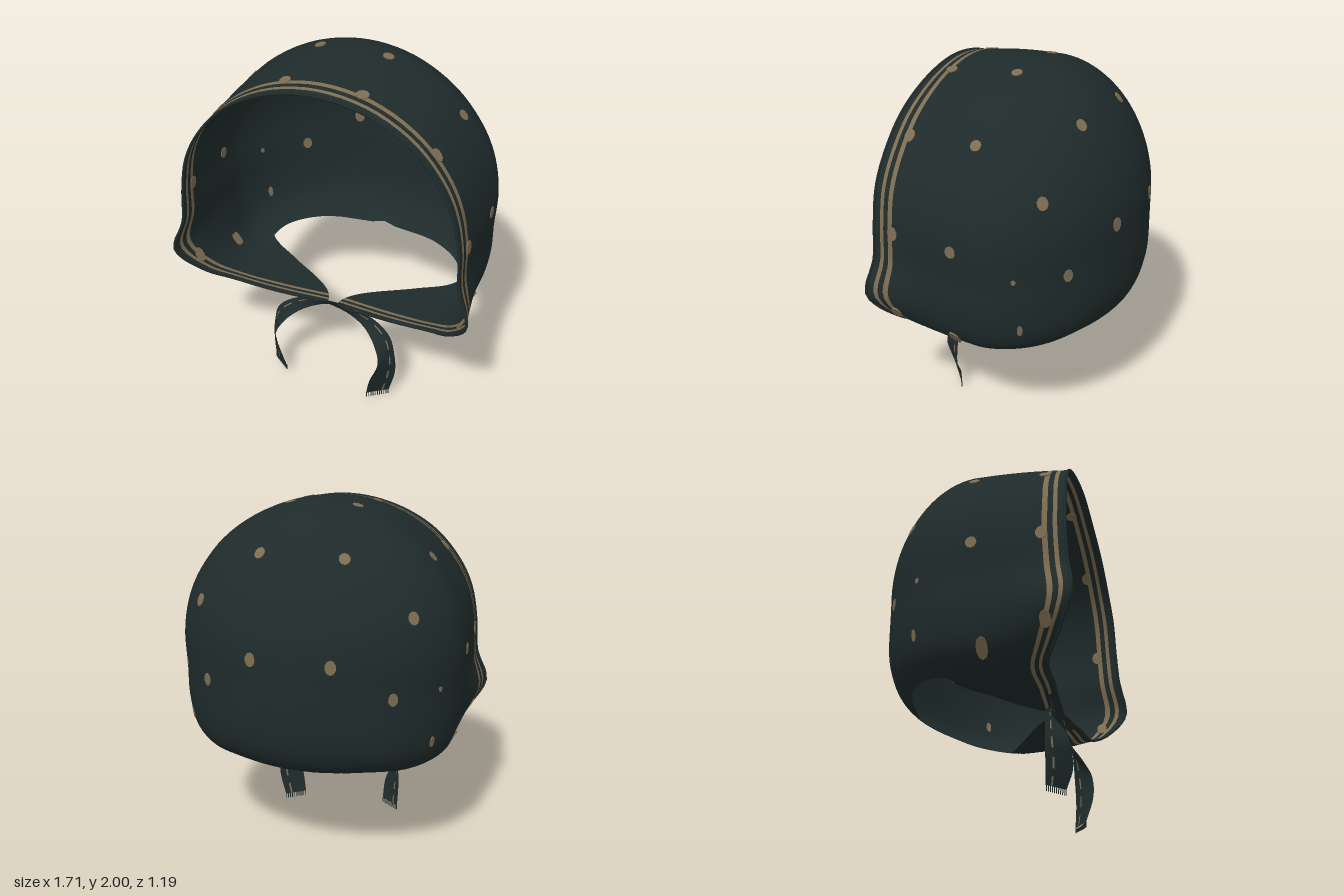
import * as THREE from 'three';
import { mergeVertices } from 'three/addons/utils/BufferGeometryUtils.js';

const mat = (name, color) => {
  const m = new THREE.MeshStandardMaterial({ color, side: THREE.DoubleSide });
  m.name = name;
  return m;
};

// Half outline mirrored into a full arch: hem, +x side, crown, -x side, hem
const arch = (half) => {
  const a = half.map((p) => new THREE.Vector3(p[0], p[1], p[2] || 0));
  const b = a.slice(0, -1).reverse().map((p) => new THREE.Vector3(-p.x, p.y, p.z));
  return new THREE.CatmullRomCurve3([...a, ...b]);
};

const body = arch([
  [0, 0.57], [0.35, 0.565], [0.6, 0.57], [0.73, 0.66], [0.785, 0.85], [0.79, 1.05],
  [0.8, 1.25], [0.765, 1.45], [0.69, 1.61], [0.53, 1.8], [0.28, 1.95], [0, 2.0],
]);
const rim = arch([
  [0.03, 0.57, 0.36], [0.35, 0.59, 0.4], [0.6, 0.615, 0.42], [0.73, 0.69, 0.5], [0.85, 0.86, 0.595],
  [0.79, 1.05, 0.572], [0.775, 1.25, 0.562], [0.735, 1.45, 0.56], [0.655, 1.61, 0.55],
  [0.5, 1.78, 0.54], [0.27, 1.9, 0.53], [0, 1.945, 0.53],
]);

// Half width of the neck opening at depth z
const neckHalf = (z) => {
  if (z < -0.44 || z > 0.36) return 0;
  if (z < -0.1) return 0.62 * Math.sqrt(1 - ((-0.1 - z) / 0.34) ** 2.5);
  return 0.62 * Math.pow((0.36 - z) / 0.46, 1.7);
};

// Rounded norm of the back: nearly elliptical in plan, fuller below the middle
const backNorm = (x, y, z) => {
  const m = 1.87;
  const n = y < 0 ? 4.5 : m;
  const plan = Math.pow(Math.abs(x), m) + Math.pow(Math.abs(z), m);
  return Math.pow(Math.pow(plan, n / m) + Math.pow(Math.abs(y), n), 1 / n);
};

// Hood surface: s = -1 back pole, 0 middle, 1 face rim; u runs along the arch
function hood(s, u) {
  const tau = (Math.PI / 2) * Math.max(-s, 0);
  const c = Math.cos(tau), d = Math.sin(tau);
  const zHem = s < 0 ? (-0.592 * d) / backNorm(0, -c, d) : 0.36 * s;
  const gap = neckHalf(zHem) * 0.15;
  const o = body.getPoint(gap + (1 - 2 * gap) * u);
  if (s >= 0) {
    const r = rim.getPoint(gap + (1 - 2 * gap) * u);
    const z = r.z * s;
    o.lerp(r, s * s);
    o.z = z;
    return o;
  }
  const dy = o.y - 1.22;
  const x = o.x / 0.8;
  const y = dy / (dy < 0 ? 0.65 : 0.78);
  const scale = THREE.MathUtils.lerp(backNorm(x, y, 0), 1, d) / backNorm(x * c, y * c, d);
  return new THREE.Vector3(o.x * c * scale, 1.22 + dy * c * scale, -0.592 * d * scale);
}

// Grid sheet with a material index chosen per cell
function sheet(rows, cols, point, pick) {
  const pos = [], index = [], geo = new THREE.BufferGeometry();
  const n = cols.length;
  rows.forEach((r) => cols.forEach((c) => pos.push(...point(r, c).toArray())));
  for (let i = 0; i < rows.length - 1; i++) {
    for (let j = 0; j < n - 1; j++) {
      const a = i * n + j, b = a + n;
      geo.addGroup(index.length, 6, pick(i, j));
      index.push(a, a + 1, b, a + 1, b + 1, b);
    }
  }
  // Join neighbouring groups that share a material
  geo.groups = geo.groups.reduce((list, g) => {
    const last = list[list.length - 1];
    if (last && last.materialIndex === g.materialIndex) last.count += g.count;
    else list.push(g);
    return list;
  }, []);
  geo.setAttribute('position', new THREE.Float32BufferAttribute(pos, 3));
  geo.setIndex(index);
  const merged = mergeVertices(geo, 1e-5);
  merged.computeVertexNormals();
  return merged;
}

const steps = (a, b, n) => Array.from({ length: n + 1 }, (_, i) => a + ((b - a) * i) / n);

export function createModel() {
  const model = new THREE.Group();
  model.name = 'tiedHood';
  const cloth = mat('darkClothGreen', 0x1f2b2b);
  const tan = mat('tanPrint', 0x7e6d51);
  const add = (geo, material, name, parent = model) => {
    const m = new THREE.Mesh(geo, material);
    m.name = name;
    parent.add(m);
    return m;
  };

  // Hood with two printed stripes along the face rim
  const rows = [...steps(-1, 0, 54), ...steps(0, 0.785, 16).slice(1), 0.835, 0.885, 0.925, 0.965, 1];
  const striped = (s) => (s > 0.78 && s < 0.83) || (s > 0.88 && s < 0.92);
  add(sheet(rows, steps(0, 1, 96), hood, (i) => (striped(rows[i]) ? 1 : 0)), [cloth, tan], 'hood');

  // Rolled hem along the face opening
  const hemPoints = steps(0.02, 0.98, 60).map((u) => hood(0.995, u));
  add(new THREE.TubeGeometry(new THREE.CatmullRomCurve3(hemPoints), 120, 0.008, 6), cloth, 'faceHem');

  // Printed dots, visible inside and outside: x, y, z, width, height
  const dots = new THREE.Group();
  dots.name = 'dots';
  model.add(dots);
  const samples = [];
  for (const s of steps(-0.98, 0.98, 98)) for (const u of steps(0.01, 0.49, 60)) samples.push([s, u, hood(s, u)]);
  const spots = [
    [0.22, 1.78, -0.37, 1, 1.1], [0.6, 1.5, -0.35, 1, 1.2], [0.21, 1.265, -0.57, 1, 1.3],
    [0.51, 1.09, -0.43, 0.9, 1.2], [0.21, 1.98, 0.035, 1, 1], [0.61, 1.74, 0.03, 1, 1],
    [0.8, 1.22, 0.08, 1, 1.1], [0.73, 0.67, 0.12, 1, 2], [0.7, 0.78, -0.25, 0.5, 1.1],
    [0.75, 1.1, -0.26, 0.4, 0.5], [0.19, 1.95, 0.41, 1.2, 1], [0.58, 1.71, 0.42, 1, 1.2],
    [0.78, 1.24, 0.44, 1, 1.3], [0.79, 0.75, 0.45, 1, 1.5],
  ];
  const dotGeo = new THREE.CylinderGeometry(0.03, 0.03, 0.009, 10).rotateX(Math.PI / 2);
  for (const [tx, ty, tz, w, h] of spots) {
    const target = new THREE.Vector3(tx, ty, tz);
    const [s, u, p] = samples.reduce((a, b) => (b[2].distanceToSquared(target) < a[2].distanceToSquared(target) ? b : a));
    const du = hood(s, u + 0.005).sub(hood(s, u - 0.005));
    const ds = hood(s + 0.01, u).sub(hood(s - 0.01, u));
    const normal = du.cross(ds).normalize();
    for (const side of [1, -1]) {
      const dot = add(dotGeo, tan, 'dot', dots);
      dot.position.set(p.x * side, p.y, p.z);
      dot.lookAt((p.x + normal.x) * side, p.y + normal.y, p.z + normal.z);
      dot.scale.set(w, h, 1);
    }
  }

  // Crossed ties with dashed stripe and fringed ends
  const tie = (side, endY, dz, name) => {
    const curve = (list) => new THREE.CatmullRomCurve3(list.map((p) => new THREE.Vector3(p[0] * side, p[1], p[2])));
    const path = curve([
      [-0.28, 0.58, 0.37], [-0.08, 0.568, 0.35 + dz], [0.1, 0.535, 0.34 + dz], [0.22, 0.49, 0.35],
      [0.315, 0.41, 0.38], [0.35, 0.3, 0.4], [0.33, 0.17, 0.405], [0.295 + (endY - 0.03), endY, 0.385],
    ]);
    const half = curve([
      [0, 0.012, 0.02], [0, 0.02, 0.02], [0.01, 0.028, 0.012], [0.018, 0.032, -0.012],
      [0.03, 0.025, -0.035], [0.03, 0, -0.055], [0.055, 0, -0.058], [0.055, 0, -0.04],
    ]);
    const group = new THREE.Group();
    group.name = name;
    model.add(group);
    const at = (t, w) => path.getPoint(t).addScaledVector(half.getPoint(t), w);
    const geo = sheet(steps(0, 1, 60), [-1, -0.3, 0.35, 0.5, 1], at, (i, j) => (j === 2 && i > 14 && i % 7 < 4 ? 1 : 0));
    add(geo, [cloth, tan], 'ribbon', group);
    const thread = new THREE.BoxGeometry(0.004, 0.032, 0.004);
    for (const w of steps(-0.95, 0.95, 10)) {
      add(thread, cloth, 'fringeThread', group).position.copy(at(1, w)).add(new THREE.Vector3(0, -0.014, 0));
    }
  };
  tie(1, 0.03, 0.006, 'leftTie');
  tie(-1, 0.06, -0.006, 'rightTie');

  return model;
}
